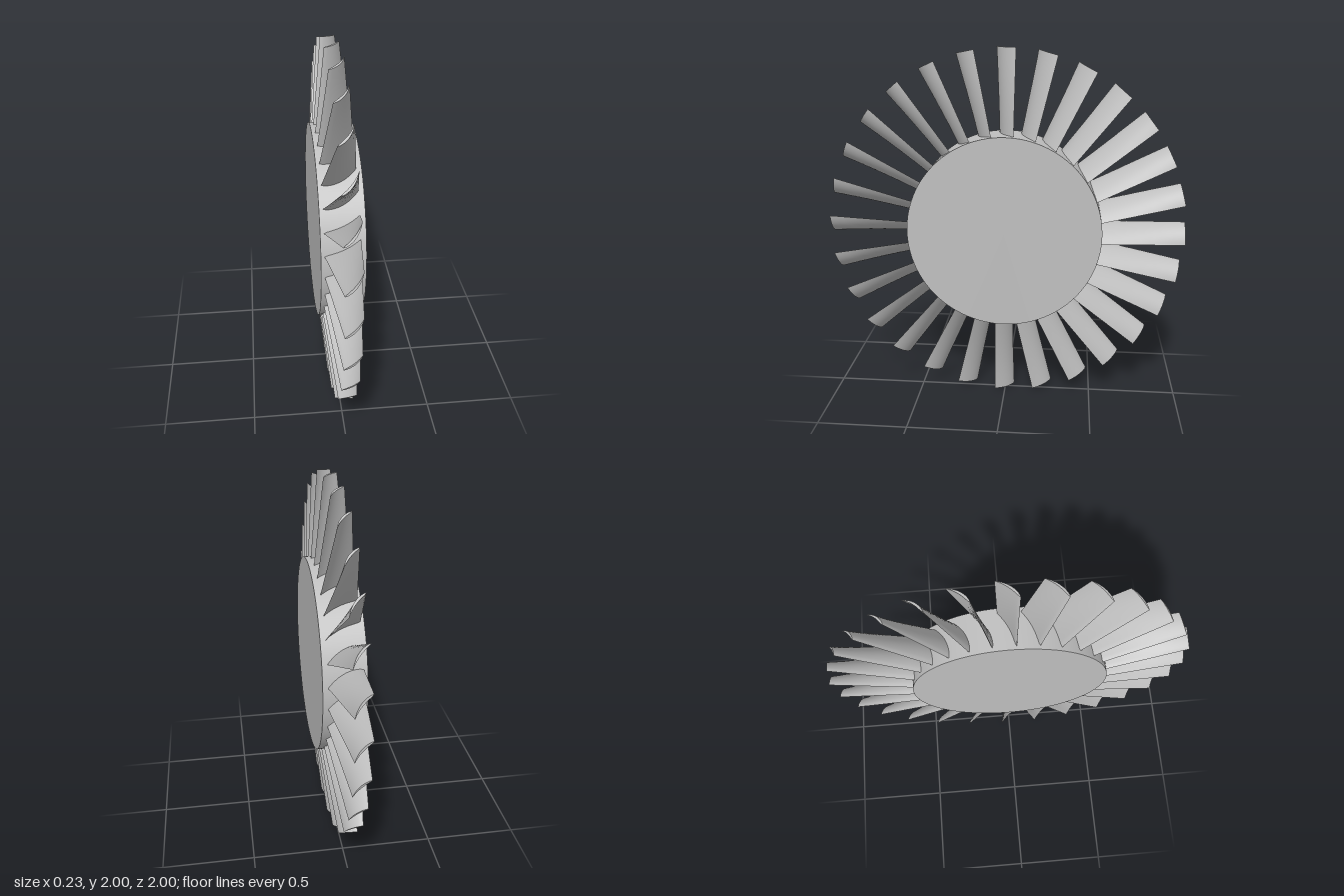
import * as THREE from 'three';

const HUB_RADIUS = 0.54, HUB_WIDTH = 0.23, TIP_RADIUS = 1, BLADES = 28;
const CHORD_STEPS = 14, SPAN_STEPS = 6;

// Point on the blade: s runs along the chord (0..1), side is +1 convex / -1 concave, r is the radius.
function bladePoint(s, side, r) {
  const t = (r - HUB_RADIUS) / (TIP_RADIUS - HUB_RADIUS);
  const dx = THREE.MathUtils.lerp(0.183, 0.088, t);
  const dz = THREE.MathUtils.lerp(0.084, 0.11, t);
  const chord = Math.hypot(dx, dz);
  const camber = 0.1 * 4 * s * (1 - s);
  const thickness = 0.09 * Math.sqrt(s) * (1 - s) * 1.3;
  const bulge = camber - 0.05 + side * thickness; // times chord, along the section normal
  return [(s - 0.5) * dx + bulge * dz, r, -(s - 0.5) * dz + bulge * dx];
}

// Twisted, tapered, cambered blade pointing along +y
function bladeGeometry() {
  const positions = [], index = [];
  const row = CHORD_STEPS + 1;
  const quad = (a, b, c, d) => index.push(a, b, c, a, c, d);

  // Convex and concave skins, kept apart so that the edges stay sharp
  for (const side of [1, -1]) {
    const base = positions.length / 3;
    for (let j = 0; j <= SPAN_STEPS; j++) {
      const r = THREE.MathUtils.lerp(0.515, TIP_RADIUS, j / SPAN_STEPS);
      for (let i = 0; i <= CHORD_STEPS; i++) {
        const u = i / CHORD_STEPS;
        positions.push(...bladePoint(side > 0 ? u : 1 - u, side, r));
      }
    }
    for (let j = 0; j < SPAN_STEPS; j++) {
      for (let i = 0; i < CHORD_STEPS; i++) {
        const a = base + j * row + i;
        quad(a, a + 1, a + row + 1, a + row);
      }
    }
  }

  // Flat tip cap
  const cap = positions.length / 3;
  for (let i = 0; i <= CHORD_STEPS; i++) {
    const s = i / CHORD_STEPS;
    positions.push(...bladePoint(s, 1, TIP_RADIUS), ...bladePoint(s, -1, TIP_RADIUS));
  }
  for (let i = 0; i < CHORD_STEPS; i++) {
    const a = cap + i * 2;
    quad(a, a + 2, a + 3, a + 1);
  }

  const geometry = new THREE.BufferGeometry();
  geometry.setAttribute('position', new THREE.Float32BufferAttribute(positions, 3));
  geometry.setIndex(index);
  geometry.computeVertexNormals();
  return geometry;
}

export function createModel() {
  const metal = new THREE.MeshStandardMaterial({ color: 0xbfbfbf });
  metal.name = 'light grey metal';

  const model = new THREE.Group();
  model.name = 'turbineWheel';
  const wheel = new THREE.Group();
  wheel.name = 'wheel';
  wheel.position.y = 1;
  model.add(wheel);

  // Solid hub disc with its axis along x
  const hub = new THREE.Mesh(
    new THREE.CylinderGeometry(HUB_RADIUS, HUB_RADIUS, HUB_WIDTH, 112).rotateZ(Math.PI / 2), metal);
  hub.name = 'hub';
  wheel.add(hub);

  // Ring of blades
  const geometry = bladeGeometry();
  for (let i = 0; i < BLADES; i++) {
    const blade = new THREE.Mesh(geometry, metal);
    blade.name = `blade${i + 1}`;
    blade.rotation.x = (i / BLADES) * Math.PI * 2;
    wheel.add(blade);
  }
  return model;
}
